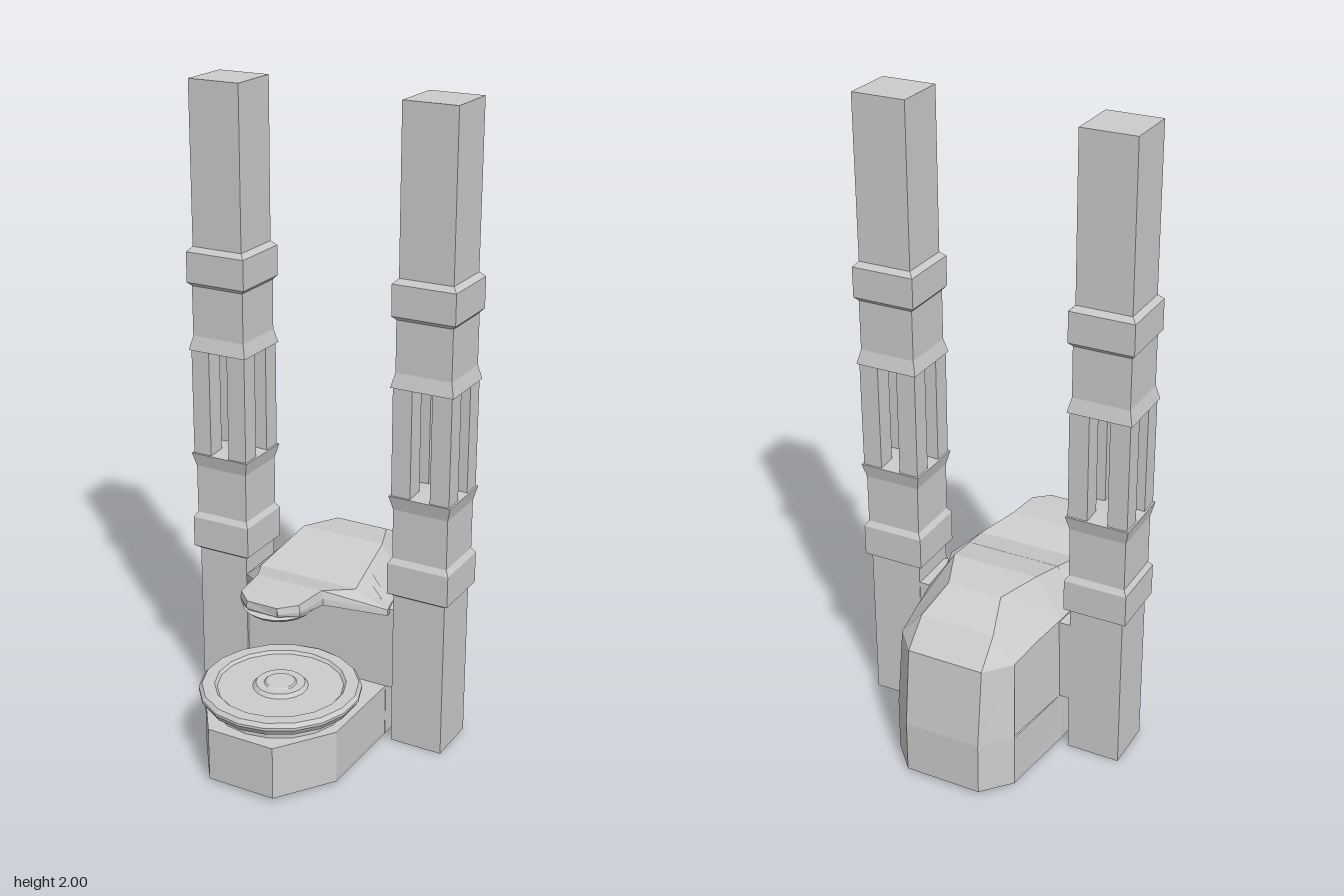
import * as THREE from 'three';

const material = new THREE.MeshStandardMaterial({ color: 0xcccccc, flatShading: true });

function addMesh(parent, name, geometry, x = 0, y = 0, z = 0) {
  const mesh = new THREE.Mesh(geometry, material);
  mesh.name = name;
  mesh.position.set(x, y, z);
  parent.add(mesh);
  return mesh;
}

// Turned profile of [radius, y] points, listed from the bottom up
function lathe(profile, sides, start = 0, scale = 1) {
  const points = profile.map(([r, y]) => new THREE.Vector2(r * scale, y));
  return new THREE.LatheGeometry(points, sides, start);
}

// Square column from [width, y] points
const squareColumn = (profile) => lathe(profile, 4, Math.PI / 4, Math.SQRT1_2);

// Symmetric skin over stations of [lower, shoulder, top] points, running back to front
function loft(stations) {
  const rings = stations.map((half) => [
    ...half,
    ...half.slice().reverse().map(([x, y, z]) => [-x, y, z]),
  ]);
  const n = rings[0].length;
  const index = [];
  for (let i = 0; i < rings.length - 1; i++) {
    for (let j = 0; j < n; j++) {
      const k = (j + 1) % n;
      const a = i * n + j, b = i * n + k, c = b + n, d = a + n;
      index.push(a, b, c, a, c, d);
    }
  }
  const last = (rings.length - 1) * n;
  for (let j = 1; j < n - 1; j++) {
    index.push(0, j + 1, j, last, last + j, last + j + 1);
  }
  const geometry = new THREE.BufferGeometry();
  geometry.setAttribute('position', new THREE.Float32BufferAttribute(rings.flat(2), 3));
  geometry.setIndex(index);
  geometry.computeVertexNormals();
  return geometry;
}

function createTower(side) {
  const tower = new THREE.Group();
  tower.name = side > 0 ? 'leftTower' : 'rightTower';
  tower.position.set(side * 0.345, 0, -0.077);
  addMesh(tower, 'lowerColumn', squareColumn([
    [0, 0], [0.17, 0], [0.17, 0.505], [0.2, 0.515], [0.2, 0.615], [0.178, 0.632],
    [0.178, 0.79], [0.2, 0.835], [0, 0.84],
  ]));
  addMesh(tower, 'upperColumn', squareColumn([
    [0, 1.17], [0.2, 1.175], [0.178, 1.22], [0.178, 1.378], [0.2, 1.39],
    [0.2, 1.485], [0.17, 1.5], [0.17, 2], [0, 2],
  ]));
  // Four corner posts leave a window on each face
  for (const x of [-1, 1]) {
    for (const z of [-1, 1]) {
      addMesh(tower, 'cornerPost', new THREE.BoxGeometry(0.062, 0.34, 0.062), x * 0.063, 1.005, z * 0.063);
    }
  }
  return tower;
}

export function createModel() {
  const model = new THREE.Group();
  model.name = 'machine';

  // Square towers on both sides
  model.add(createTower(1), createTower(-1));

  // Low base with chamfered ends
  const outline = [[0.11, 0.48], [0.23, 0.31], [0.235, -0.1], [0.2, -0.41], [0.12, -0.494]];
  const ring = [...outline, ...outline.slice().reverse().map(([x, z]) => [-x, z])];
  const base = new THREE.ExtrudeGeometry(
    new THREE.Shape(ring.map(([x, z]) => new THREE.Vector2(x, -z))),
    { depth: 0.17, bevelEnabled: false },
  );
  base.rotateX(-Math.PI / 2);
  addMesh(model, 'base', base, 0, 0.01, 0);

  // Rounded rear housing
  const corner = [0.2, 0.01, -0.41];
  addMesh(model, 'housing', loft([
    [corner, corner, [0.122, 0.01, -0.496]],
    [corner, [0.2, 0.18, -0.41], [0.122, 0.18, -0.496]],
    [corner, [0.19, 0.43, -0.39], [0.122, 0.43, -0.468]],
    [corner, [0.19, 0.43, -0.39], [0.12, 0.51, -0.39]],
    [[0.215, 0.01, -0.28], [0.205, 0.445, -0.28], [0.088, 0.57, -0.28]],
    [[0.232, 0.01, -0.15], [0.225, 0.455, -0.15], [0.14, 0.582, -0.15]],
    [[0.235, 0.01, 0], [0.235, 0.455, 0], [0.157, 0.549, 0]],
  ]));

  // Wall joining the towers
  addMesh(model, 'bridgeWall', new THREE.BoxGeometry(0.54, 0.27, 0.16), 0, 0.315, -0.08);

  // Overhanging arm that narrows towards its tip
  addMesh(model, 'arm', loft([
    [[0.235, 0.43, -0.03], [0.235, 0.455, -0.03], [0.154, 0.556, -0.03]],
    [[0.25, 0.44, 0.025], [0.25, 0.46, 0.025], [0.166, 0.532, 0.075]],
    [[0.114, 0.515, 0.185], [0.115, 0.535, 0.185], [0.11, 0.562, 0.185]],
    [[0.098, 0.525, 0.3], [0.102, 0.54, 0.3], [0.098, 0.562, 0.3]],
    [[0.05, 0.53, 0.342], [0.054, 0.54, 0.346], [0.05, 0.56, 0.345]],
  ]));

  // Stepped press head below the arm
  addMesh(model, 'pressHead', lathe([
    [0, 0.474], [0.028, 0.474], [0.03, 0.488], [0.06, 0.49], [0.065, 0.505],
    [0.095, 0.507], [0.11, 0.52], [0.085, 0.532], [0, 0.532],
  ], 18), 0, 0, 0.245);

  // Round platform with a shallow dish and a central hub
  addMesh(model, 'platform', lathe([
    [0, 0.175], [0.205, 0.175], [0.205, 0.208], [0.235, 0.21], [0.248, 0.23], [0.248, 0.238],
    [0.238, 0.25], [0.2, 0.25], [0.192, 0.241], [0.085, 0.241], [0.075, 0.252],
    [0.05, 0.252], [0.045, 0.256], [0, 0.256],
  ], 18), 0, 0, 0.243);

  return model;
}
